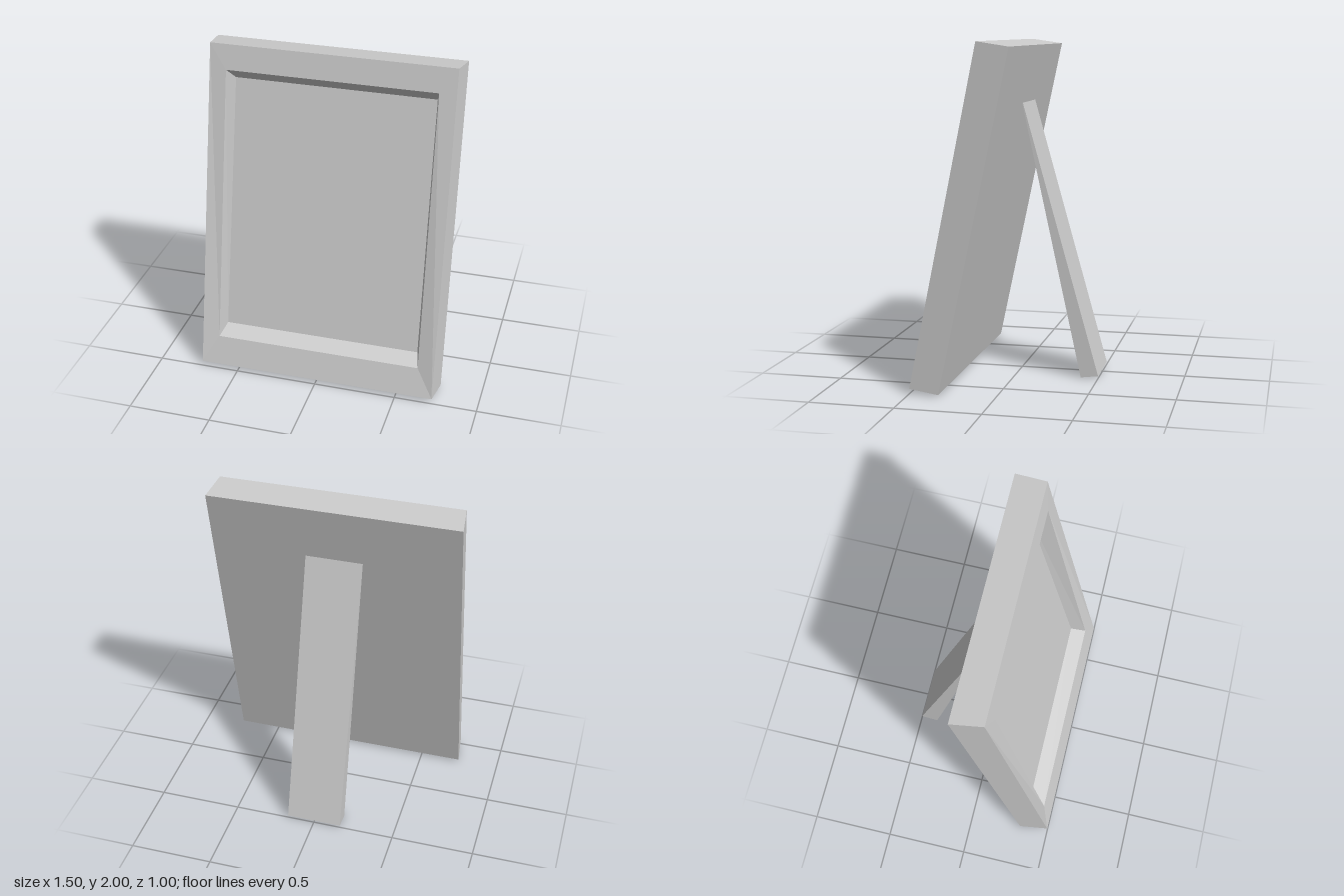
import * as THREE from 'three';

// Skin a series of four-cornered rings, counter-clockwise seen from the last one, and cap both ends.
function loft(name, rings, material) {
  const positions = rings.flat(2);
  const index = [];
  const quad = (a, b, c, d) => index.push(a, b, c, a, c, d);
  for (let r = 0; r < rings.length - 1; r++) {
    for (let i = 0; i < 4; i++) {
      const a = r * 4 + i, b = r * 4 + (i + 1) % 4;
      quad(a, b, b + 4, a + 4);
    }
  }
  const last = (rings.length - 1) * 4;
  quad(3, 2, 1, 0);
  quad(last, last + 1, last + 2, last + 3);
  let geometry = new THREE.BufferGeometry();
  geometry.setAttribute('position', new THREE.Float32BufferAttribute(positions, 3));
  geometry.setIndex(index);
  geometry = geometry.toNonIndexed();
  geometry.computeVertexNormals();
  const mesh = new THREE.Mesh(geometry, material);
  mesh.name = name;
  return mesh;
}

// Symmetric ring from its half width and the (y, z) of its lower and upper edges.
const ring = (x, y0, z0, y1, z1, xTop = x) => [
  [-x, y0, z0], [x, y0, z0], [xTop, y1, z1], [-xTop, y1, z1],
];

export function createModel() {
  const material = new THREE.MeshStandardMaterial({ color: 0xcccccc, flatShading: true });
  const model = new THREE.Group();
  model.name = 'pictureFrame';

  // Leaning frame: back, front edge, opening rim, recessed panel
  model.add(loft('frame', [
    ring(0.748, 0.012, 0.32, 1.972, -0.094),
    ring(0.727, 0.032, 0.498, 2.0, 0.097),
    ring(0.626, 0.205, 0.448, 1.853, 0.128),
    ring(0.602, 0.25, 0.352, 1.77, 0.03),
  ], material));

  // Wedge-shaped easel leg, thick at the foot and thin at the top
  model.add(loft('easelLeg', [
    ring(0.167, 0, -0.395, 0.014, -0.5),
    ring(0.171, 1.635, -0.037, 1.637, -0.041),
  ], material));

  return model;
}
